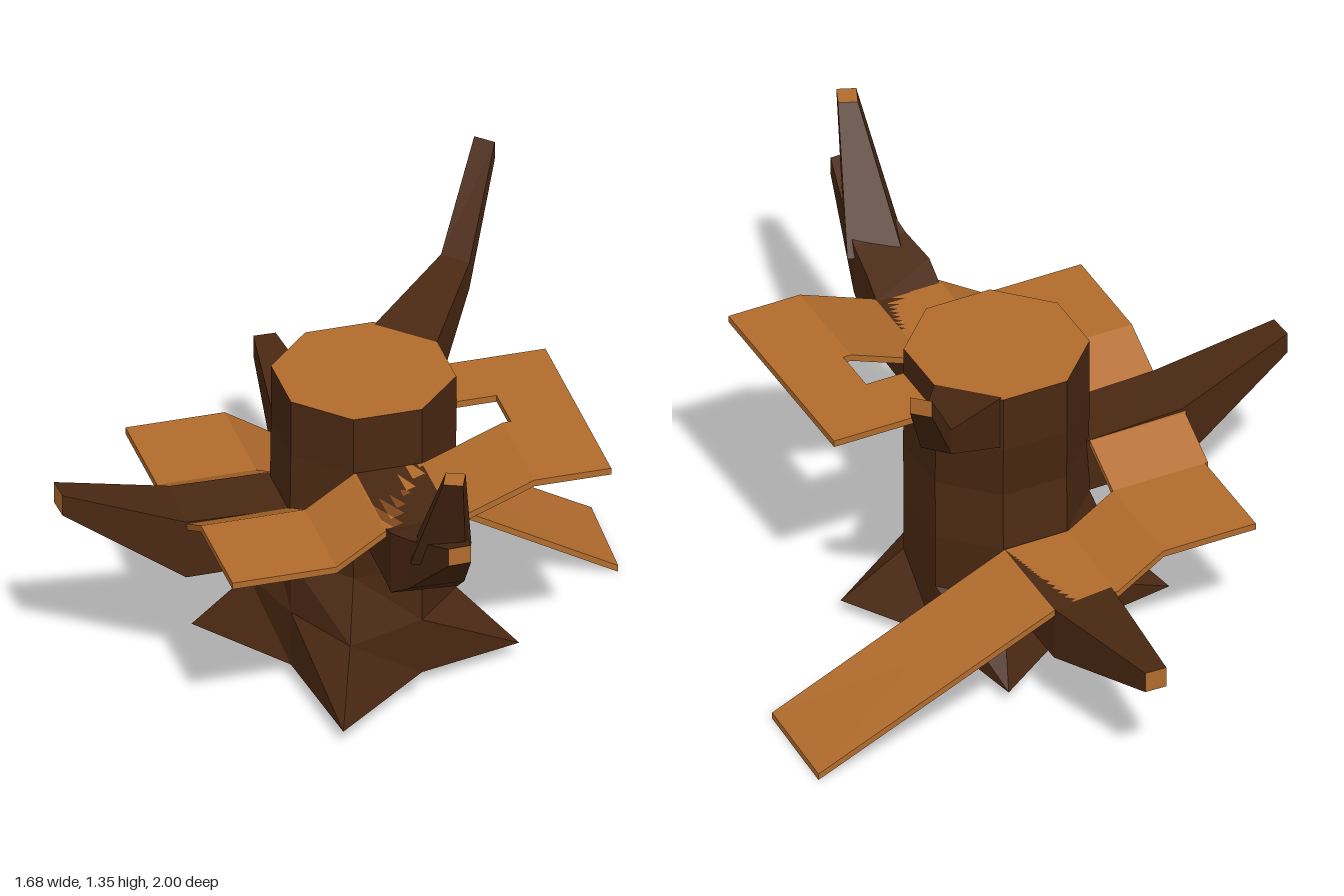
import * as THREE from 'three';

const bark = new THREE.MeshStandardMaterial({ color: 0x4a2812, flatShading: true });
const wood = new THREE.MeshStandardMaterial({ color: 0xb26c2d, flatShading: true });
const CX = 0.06; // trunk axis

function flatGeometry(tris) {
  const geo = new THREE.BufferGeometry();
  geo.setFromPoints(tris.flat());
  geo.computeVertexNormals();
  return geo;
}

// Joins rings of points into a closed solid; returns body (sides and first cap) and end cap.
function loft(rings) {
  const cap = ring => {
    const c = ring.reduce((s, p) => s.add(p), new THREE.Vector3()).divideScalar(ring.length);
    return ring.map((p, i) => [c, p, ring[(i + 1) % ring.length]]);
  };
  let body = cap(rings[0]).map(([a, b, c]) => [a, c, b]);
  for (let k = 0; k + 1 < rings.length; k++) {
    const a = rings[k], b = rings[k + 1], n = a.length;
    for (let i = 0; i < n; i++) {
      const j = (i + 1) % n;
      body.push([a[i], a[j], b[j]], [a[i], b[j], b[i]]);
    }
  }
  let end = cap(rings[rings.length - 1]);
  // turn the faces outward when the volume comes out negative
  const volume = [...body, ...end].reduce((s, [a, b, c]) => s + a.dot(b.clone().cross(c)), 0);
  if (volume < 0) {
    body = body.map(([a, b, c]) => [a, c, b]);
    end = end.map(([a, b, c]) => [a, c, b]);
  }
  return [flatGeometry(body), flatGeometry(end)];
}

// Bark-covered solid with a cut end of bare wood
function limb(name, rings) {
  const group = new THREE.Group();
  group.name = name;
  const [body, end] = loft(rings);
  const bodyMesh = new THREE.Mesh(body, bark);
  bodyMesh.name = name + 'Bark';
  const endMesh = new THREE.Mesh(end, wood);
  endMesh.name = name + 'CutEnd';
  group.add(bodyMesh, endMesh);
  return group;
}

// Octagonal trunk ring; the radii for +x, +z, -x, -z spread the roots
function trunkRing(y, dz = 0, tips = [0.28, 0.28, 0.28, 0.28]) {
  return Array.from({ length: 8 }, (_, i) => {
    const r = i % 2 ? 0.28 : tips[i / 2], a = i * Math.PI / 4;
    return new THREE.Vector3(CX + r * Math.cos(a), y, dz + r * Math.sin(a));
  });
}

// Branch section: two sides (x, z) with a top and a bottom height
const section = ([xa, za, xb, zb, top, bottom]) => [
  new THREE.Vector3(xa, top, za), new THREE.Vector3(xb, top, zb),
  new THREE.Vector3(xb, bottom, zb), new THREE.Vector3(xa, bottom, za),
];

// Stair slab: corners are [out, along, top height] in a frame turned with the trunk's faces
function slab(corners) {
  const c = Math.cos(Math.PI / 8), s = Math.sin(Math.PI / 8);
  const ring = drop => corners.map(([n, t, y]) =>
    new THREE.Vector3(CX + c * n + s * t, y - drop, -s * n + c * t));
  const group = new THREE.Group();
  for (const geo of loft([ring(0.022), ring(0)])) group.add(new THREE.Mesh(geo, wood));
  return group;
}

// Rectangular slab whose height runs from yA to yB along one axis
const slabAlongT = (n0, n1, tA, tB, yA, yB = yA) =>
  slab([[n0, tA, yA], [n1, tA, yA], [n1, tB, yB], [n0, tB, yB]]);
const slabAlongN = (t0, t1, nA, nB, yA, yB = yA) =>
  slab([[nA, t0, yA], [nA, t1, yA], [nB, t1, yB], [nB, t0, yB]]);

export function createModel() {
  const model = new THREE.Group();
  model.name = 'treeStumpWithStairs';

  // Trunk with four pointed roots
  model.add(limb('trunk', [
    trunkRing(0.05, 0, [0.47, 0.56, 0.52, 0.5]),
    trunkRing(0.235, 0, [0.28, 0.37, 0.35, 0.28]),
    trunkRing(0.42), trunkRing(0.605, 0.025), trunkRing(0.79), trunkRing(0.98),
  ]));

  // Branches, each growing from one face of the trunk
  const branches = {
    backLeftBranch: [
      [0.06, -0.26, 0.26, -0.18, 0.978, 0.79],
      [0.235, -0.54, 0.325, -0.5, 1.07, 0.98],
      [0.31, -0.77, 0.375, -0.745, 1.35, 1.29]],
    frontBranch: [
      [0.26, 0.18, 0.06, 0.26, 0.79, 0.605],
      [0.385, 0.5, 0.19, 0.58, 0.79, 0.605],
      [0.41, 0.6, 0.215, 0.66, 0.825, 0.615],
      [0.44, 0.69, 0.28, 0.75, 0.86, 0.69],
      [0.49, 0.965, 0.425, 0.995, 0.99, 0.93]],
    rightBranch: [
      [-0.21, 0, -0.13, 0.2, 0.605, 0.42],
      [-0.51, 0.13, -0.44, 0.33, 0.615, 0.42],
      [-0.84, 0.33, -0.805, 0.405, 0.73, 0.66]],
    backBranch: [
      [0.06, -0.27, -0.14, -0.19, 0.42, 0.235],
      [-0.07, -0.59, -0.25, -0.49, 0.42, 0.24],
      [-0.315, -1, -0.38, -0.975, 0.47, 0.4]],
  };
  for (const [name, rows] of Object.entries(branches)) model.add(limb(name, rows.map(section)));

  // Upright prong forking off the front branch
  const prong = [
    [0.29, 0.46, 0.68, 0.82, 0.82], [0.41, 0.47, 0.93, 1.0, 1.22],
  ].map(([x0, x1, z0, z1, y]) => [[x0, z0], [x1, z0], [x1, z1], [x0, z1]]
    .map(([x, z]) => new THREE.Vector3(x, y, z)));
  model.add(limb('frontProng', prong));

  // Stairs winding down around the trunk: landings joined by ramps
  const I = 0.26, O = 0.6, F = 0.107;
  const stairs = {
    topLanding: slabAlongT(I, O, -F, F, 0.89),
    topWalk: slabAlongT(0.385, O, F, I, 0.89),
    frontLeftCorner: slabAlongN(I, O, 0.36, O, 0.89),
    frontUpperRamp: slabAlongN(I, O, 0.36, F, 0.89, 0.79),
    frontLanding: slabAlongN(I, O, F, -F, 0.79),
    frontLowerRamp: slabAlongN(I, O, -F, -I, 0.79, 0.69),
    frontRightCorner: slabAlongN(I, O, -I, -0.585, 0.69),
    sideUpperRamp: slabAlongT(-I, -0.585, I, F, 0.69, 0.605),
    sideLanding: slabAlongT(-I, -0.585, F, -F, 0.605),
    sideLowerRamp: slabAlongT(-I, -0.58, -F, -I, 0.605, 0.52),
    backRightCorner: slabAlongT(-I, -0.57, -I, -O, 0.52),
    backUpperRamp: slabAlongN(-I, -O, -I, -F, 0.52, 0.42),
    backLanding: slabAlongN(-I, -O, -F, F, 0.42),
    groundRamp: slab([[F, -I, 0.42], [F, -O, 0.42], [0.87, -0.54, 0.022], [0.855, -0.2, 0.022]]),
  };
  for (const [name, part] of Object.entries(stairs)) {
    part.name = name;
    part.children.forEach((mesh, i) => { mesh.name = name + (i ? 'Top' : 'Base'); });
    model.add(part);
  }
  return model;
}
